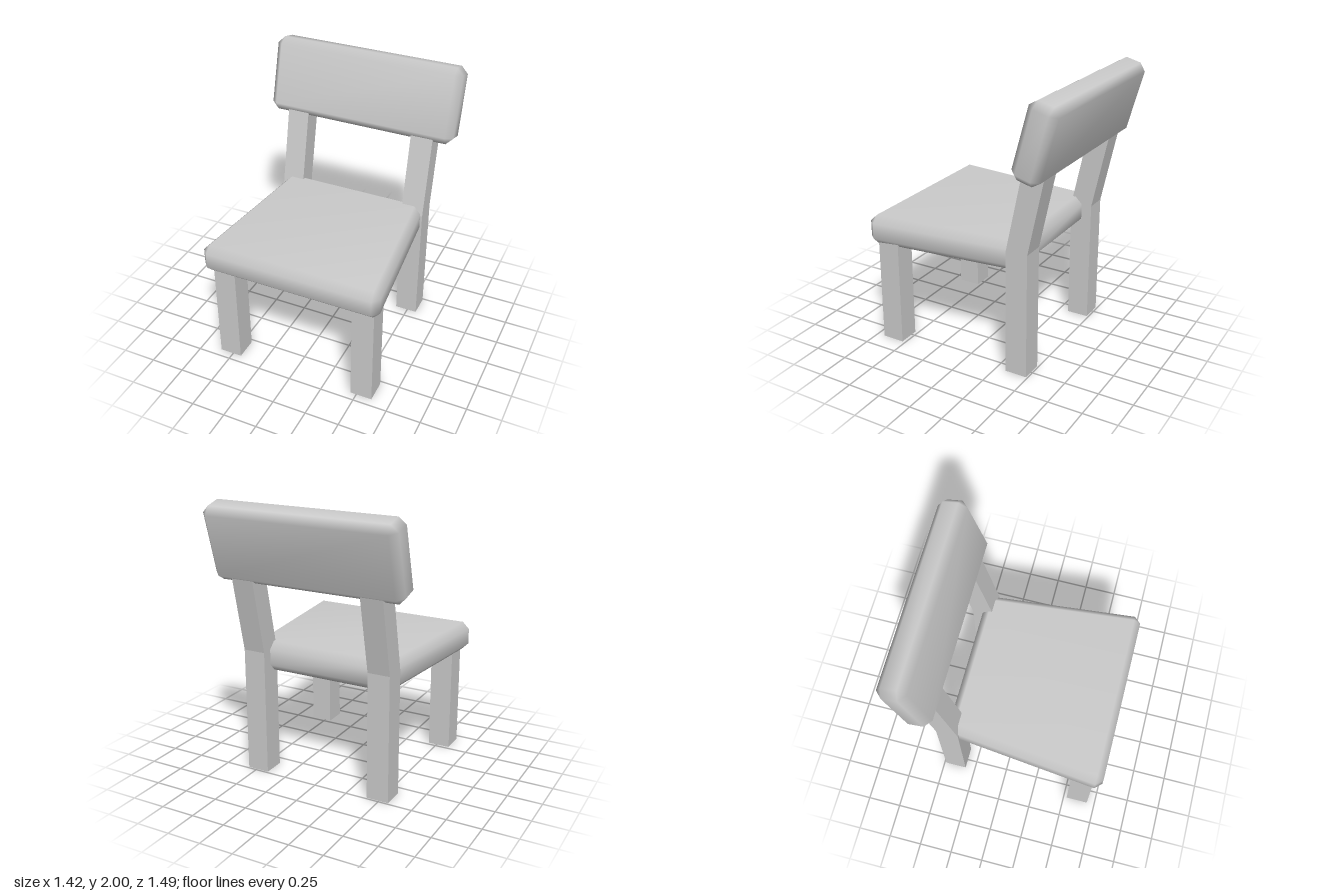
import * as THREE from 'three';
import { mergeVertices } from 'three/addons/utils/BufferGeometryUtils.js';
import { ConvexGeometry } from 'three/addons/geometries/ConvexGeometry.js';

// Box with chamfered edges and smooth normals; taper widens it towards +z
function cushion(w, h, d, b, taper = 0) {
  const pts = [];
  const [W, H, D] = [w / 2, h / 2, d / 2];
  for (const sx of [-1, 1]) for (const sy of [-1, 1]) for (const sz of [-1, 1]) {
    for (const [x, y, z] of [[W, H - b, D - b], [W - b, H, D - b], [W - b, H - b, D]]) {
      pts.push(new THREE.Vector3(sx * (x + taper * sz * z), sy * y, sz * z));
    }
  }
  const geo = new ConvexGeometry(pts);
  geo.deleteAttribute('normal');
  const smooth = mergeVertices(geo, 1e-4);
  smooth.computeVertexNormals();
  return smooth;
}

// Open square tube through cross-sections [yFront, zFront, yBack, zBack]
function legTube(x0, x1, sections) {
  const rings = sections.map(([yf, zf, yb, zb]) => [[x0, yf, zf], [x1, yf, zf], [x1, yb, zb], [x0, yb, zb]]);
  const pos = [];
  for (let i = 0; i < rings.length - 1; i++) {
    for (let k = 0; k < 4; k++) {
      const n = (k + 1) % 4;
      const [a, b, c, d] = [rings[i][k], rings[i][n], rings[i + 1][n], rings[i + 1][k]];
      pos.push(...a, ...b, ...c, ...a, ...c, ...d);
    }
  }
  const geo = new THREE.BufferGeometry();
  geo.setAttribute('position', new THREE.Float32BufferAttribute(pos, 3));
  geo.computeVertexNormals();
  return geo;
}

export function createModel() {
  const group = new THREE.Group();
  const padMat = new THREE.MeshStandardMaterial({ color: 0xcccccc });
  const legMat = new THREE.MeshStandardMaterial({ color: 0xcccccc, flatShading: true, side: THREE.DoubleSide });
  const add = (name, geo, mat) => {
    const mesh = new THREE.Mesh(geo, mat);
    mesh.name = name;
    group.add(mesh);
    return mesh;
  };

  // Seat, wider at the front
  add('seat', cushion(1.21, 0.215, 1.16, 0.05, 0.103), padMat).position.set(0, 0.865, 0.17);

  // Backrest, leaning backwards
  const back = add('backrest', cushion(1.425, 0.545, 0.212, 0.05), padMat);
  back.position.set(0, 1.72, -0.582);
  back.rotation.x = -0.266;

  // Straight front legs
  const front = [[0, 0.69, 0, 0.525], [0.84, 0.69, 0.84, 0.525]];
  add('frontLegRight', legTube(-0.6, -0.435, front), legMat);
  add('frontLegLeft', legTube(0.455, 0.615, front), legMat);

  // Back legs, bent at seat height to carry the backrest
  const rear = [[0, -0.325, 0, -0.487], [0.91, -0.325, 0.92, -0.487], [1.5, -0.448, 1.47, -0.603]];
  add('backLegRight', legTube(-0.568, -0.406, rear), legMat);
  add('backLegLeft', legTube(0.406, 0.57, rear), legMat);

  return group;
}
